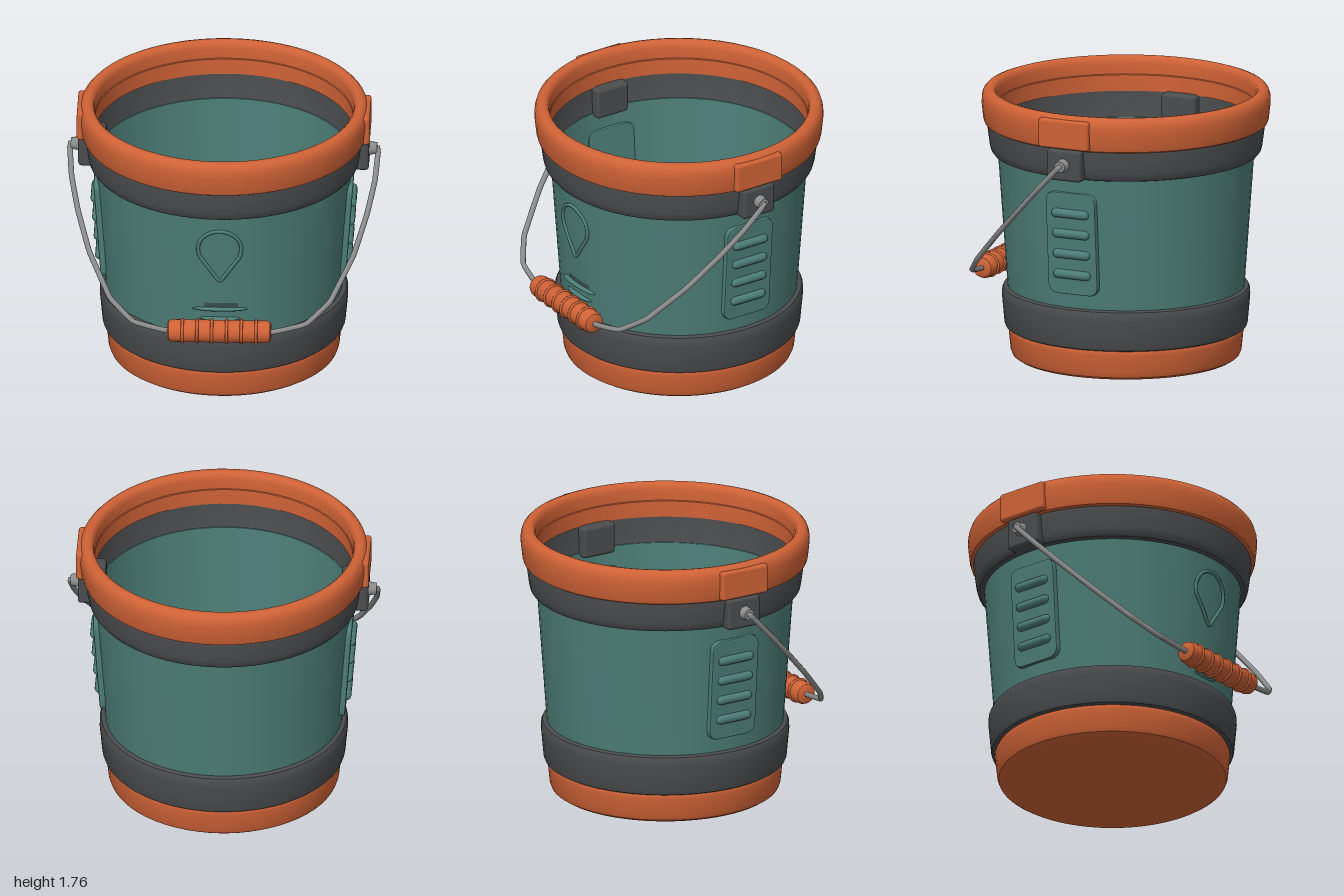
import * as THREE from 'three';
import { toCreasedNormals } from 'three/addons/utils/BufferGeometryUtils.js';
import { RoundedBoxGeometry } from 'three/addons/geometries/RoundedBoxGeometry.js';

const material = (name, color) => Object.assign(new THREE.MeshStandardMaterial({ color }), { name });
const V = (x, y, z) => new THREE.Vector3(x, y, z);

// outer radius of the tapered wall at height y
const wallRadius = (y) => 0.735 + (y - 0.2) * 0.0717;

export function createModel() {
  const orange = material('orange', 0xcf6236);
  const teal = material('teal', 0x4d7d77);
  const charcoal = material('charcoal', 0x4a4c4e);
  const steel = material('steel', 0x8c8c8c);
  const darkTeal = material('dark teal', 0x3a504e);

  const model = new THREE.Group();
  model.name = 'bucket';
  const bucket = new THREE.Group();
  bucket.name = 'bucketParts';
  bucket.position.z = -0.012;
  model.add(bucket);

  const add = (parent, name, geometry, mat, x = 0, y = 0, z = 0) => {
    const mesh = new THREE.Mesh(geometry, mat);
    mesh.name = name;
    mesh.position.set(x, y, z);
    parent.add(mesh);
    return mesh;
  };
  const lathe = (points, segments = 64) => toCreasedNormals(
    new THREE.LatheGeometry(points.map(([r, y]) => new THREE.Vector2(r, y)), segments), 0.6);

  // base with the inner floor on top
  add(bucket, 'base', lathe([
    [0, 0], [0.67, 0], [0.7, 0.006], [0.724, 0.022], [0.735, 0.05],
    [0.747, 0.17], [0.747, 0.19], [0.74, 0.203], [0, 0.203],
  ]), orange);

  // tapered wall, outside then inside
  add(bucket, 'wall', lathe([
    [0.735, 0.2], [wallRadius(1.36), 1.36], [wallRadius(1.36) - 0.007, 1.36], [0.728, 0.2], [0.735, 0.2],
  ]), teal);

  add(bucket, 'lowerCollar', lathe([
    [0.737, 0.2], [0.753, 0.2], [0.767, 0.207], [0.774, 0.225], [0.79, 0.40],
    [0.789, 0.44], [0.78, 0.46], [0.762, 0.468], [0.745, 0.468],
  ]), charcoal);

  add(bucket, 'upperCollar', lathe([
    [0.812, 1.33], [0.825, 1.33], [0.845, 1.336], [0.86, 1.355], [0.868, 1.39],
    [0.884, 1.51], [0.883, 1.535], [0.83, 1.535], [0.82, 1.36], [0.812, 1.33],
  ]), charcoal);

  add(bucket, 'rim', lathe([
    [0.826, 1.53], [0.888, 1.53], [0.902, 1.538], [0.909, 1.56], [0.92, 1.66], [0.918, 1.7],
    [0.909, 1.73], [0.893, 1.748], [0.87, 1.756], [0.848, 1.752], [0.833, 1.738],
    [0.826, 1.71], [0.826, 1.64], [0.822, 1.635], [0.822, 1.53], [0.826, 1.53],
  ]), orange);

  // side fittings, identical on left and right
  const w = 0.165, h = 0.33, r = 0.06;
  const plate = new THREE.Shape();
  plate.moveTo(-w + r, -h);
  plate.lineTo(w - r, -h);
  plate.quadraticCurveTo(w, -h, w, -h + r);
  plate.lineTo(w, h - r);
  plate.quadraticCurveTo(w, h, w - r, h);
  plate.lineTo(-w + r, h);
  plate.quadraticCurveTo(-w, h, -w, h - r);
  plate.lineTo(-w, -h + r);
  plate.quadraticCurveTo(-w, -h, -w + r, -h);
  const panelGeometry = new THREE.ExtrudeGeometry(plate, {
    depth: 0.03, bevelSize: 0.008, bevelThickness: 0.012, bevelSegments: 2, curveSegments: 6,
  }).rotateY(Math.PI / 2);
  const barGeometry = new THREE.CapsuleGeometry(0.03, 0.2, 6, 12).rotateX(Math.PI / 2);

  for (const [side, turn] of [['left', 0], ['right', Math.PI]]) {
    const fittings = new THREE.Group();
    fittings.name = side + 'Fittings';
    fittings.rotation.y = turn;
    bucket.add(fittings);
    add(fittings, side + 'RimClip', new RoundedBoxGeometry(0.085, 0.19, 0.35, 2, 0.018), orange, 0.89, 1.637, 0);
    add(fittings, side + 'HingeBlock', new RoundedBoxGeometry(0.175, 0.205, 0.24, 2, 0.022), charcoal, 0.8375, 1.434, 0);
    const pin = new THREE.CylinderGeometry(0.036, 0.046, 0.06, 12).rotateZ(-Math.PI / 2);
    add(fittings, side + 'HingePin', pin, steel, 0.945, 1.437, 0);

    // raised panel with four bars, leaning with the wall
    const panel = new THREE.Group();
    panel.name = side + 'Panel';
    panel.position.set(wallRadius(0.897), 0.897, 0);
    panel.rotation.z = -Math.atan(0.0717);
    fittings.add(panel);
    add(panel, side + 'PanelPlate', panelGeometry, teal, -0.024, 0, 0);
    for (let i = 0; i < 4; i++) {
      add(panel, side + 'PanelBar', barGeometry, teal, 0.017, 0.2025 - i * 0.135, 0);
    }
  }

  // drop outline following the curved front wall
  const drop = [];
  const onWall = (x, y) => drop.push(V(x, y, Math.sqrt(wallRadius(y) ** 2 - x * x) + 0.004));
  for (let i = 0; i <= 24; i++) {
    const a = -0.5 + (i / 24) * (Math.PI + 1);
    onWall(0.138 * Math.cos(a), 1.1 + 0.135 * Math.sin(a));
  }
  onWall(-0.06, 0.95);
  onWall(0, 0.872);
  onWall(0.06, 0.95);
  add(bucket, 'dropOutline', new THREE.TubeGeometry(
    new THREE.CatmullRomCurve3(drop, true, 'catmullrom', 0.3), 90, 0.012, 8, true), teal);

  // small ridges below the drop
  for (const [y, width] of [[0.66, 0.175], [0.59, 0.13], [0.52, 0.1]]) {
    const ridge = add(bucket, 'frontRidge', new THREE.SphereGeometry(1, 24, 10), teal, 0, y, wallRadius(y) - 0.008);
    ridge.scale.set(width, 0.013, 0.035);
  }
  add(bucket, 'frontMark', new THREE.CylinderGeometry(
    wallRadius(0.705) + 0.003, wallRadius(0.675) + 0.003, 0.03, 8, 1, true, -0.13, 0.28), darkTeal, 0, 0.69, 0);

  // wire handle resting forward
  const half = [[0.95, 1.437], [0.982, 1.437], [0.965, 1.28], [0.92, 1.12], [0.84, 0.92],
    [0.70, 0.70], [0.55, 0.59], [0.335, 0.55]];
  const swing = (x, y) => V(x, y, (1.437 - y) * (0.862 / 0.887));
  const path = [
    ...half.map(([x, y]) => swing(x, y)),
    ...half.slice().reverse().map(([x, y]) => swing(-x, y)),
  ];
  add(bucket, 'handleWire', new THREE.TubeGeometry(
    new THREE.CatmullRomCurve3(path, false, 'catmullrom', 0.1), 120, 0.0175, 8), steel);

  // ribbed grip
  const grip = new THREE.Group();
  grip.name = 'grip';
  grip.position.set(0, 0.55, 0.862);
  grip.rotation.z = Math.PI / 2;
  bucket.add(grip);
  add(grip, 'gripBarrel', lathe([
    [0, -0.33], [0.05, -0.33], [0.064, -0.322], [0.072, -0.3],
    [0.072, 0.3], [0.064, 0.322], [0.05, 0.33], [0, 0.33],
  ], 24), orange);
  for (let i = 0; i < 6; i++) {
    add(grip, 'gripRib', new THREE.TorusGeometry(0.072, 0.01, 8, 24).rotateX(Math.PI / 2), orange, 0, -0.235 + i * 0.094, 0);
  }

  return model;
}
